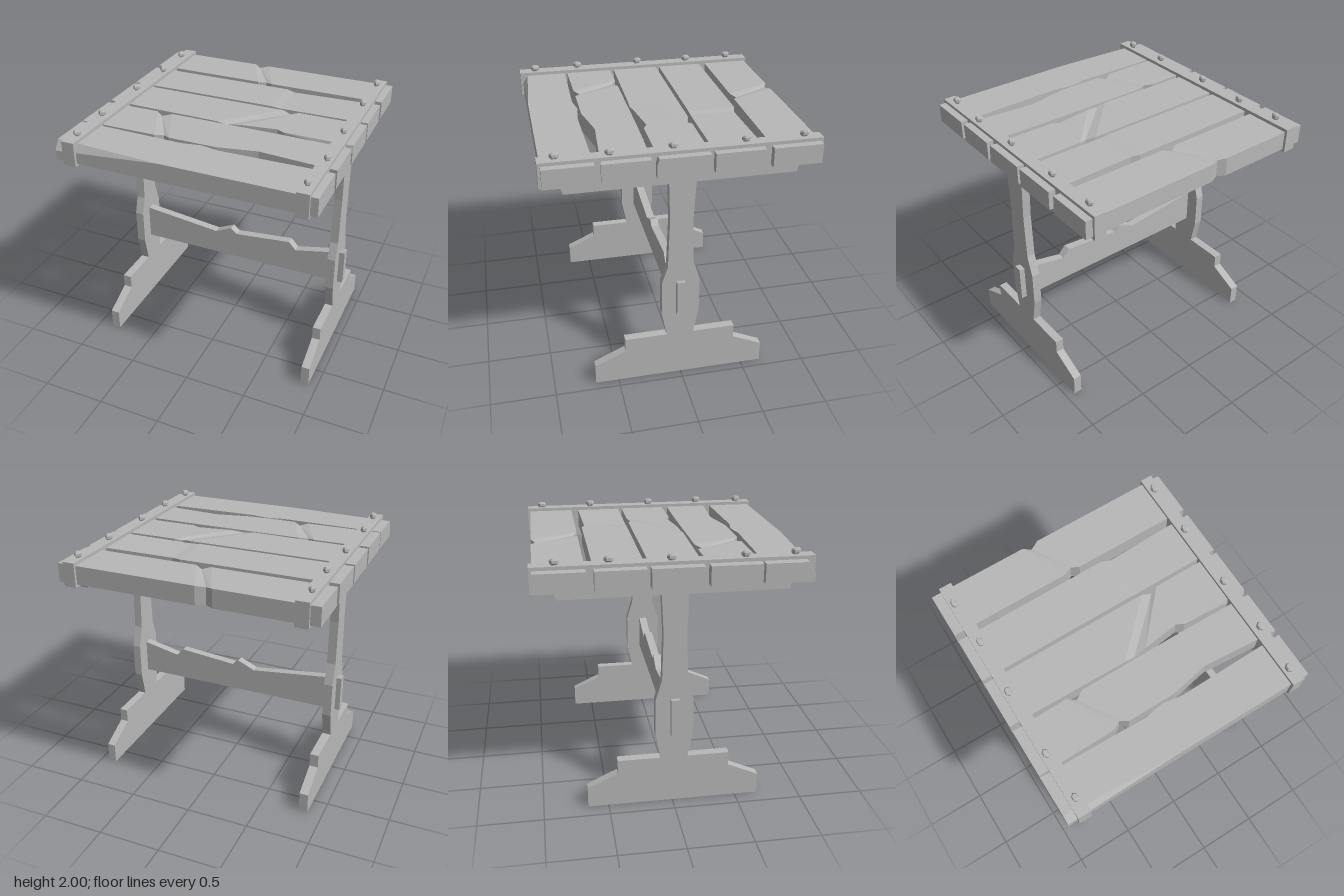
import * as THREE from 'three';

const wood = new THREE.MeshStandardMaterial({ color: 0xb8b8b8, flatShading: true });
wood.name = 'grey wood';

function part(parent, name, geometry) {
  const mesh = new THREE.Mesh(geometry, wood);
  mesh.name = name;
  parent.add(mesh);
  return mesh;
}

function box(parent, name, x0, x1, y0, y1, z0, z1) {
  const mesh = part(parent, name, new THREE.BoxGeometry(x1 - x0, y1 - y0, z1 - z0));
  mesh.position.set((x0 + x1) / 2, (y0 + y1) / 2, (z0 + z1) / 2);
}

function extrude(points, depth) {
  const shape = new THREE.Shape(points.map(([x, y]) => new THREE.Vector2(x, y)));
  return new THREE.ExtrudeGeometry(shape, { depth, bevelEnabled: false });
}

// Outline given as [z, y], extruded along x from x0 to x1
function sideProfile(points, x0, x1) {
  return extrude(points.map(([z, y]) => [-z, y]), x1 - x0).rotateY(Math.PI / 2).translate(x0, 0, 0);
}

// Worn plank lofted along x. Station: [back x, back z, front x, front z, top dent, chamfer z, chamfer y]
function plankGeometry(stations) {
  const bottom = 1.785, top = 1.93;
  const rings = stations.map(([xb, zb, xf, zf, dent = 0, cz = 0, cy = 0]) => [
    [xb, bottom, zb], [xb, top - dent, zb],
    [xf, top - dent, zf - cz], [xf, top - dent - cy, zf], [xf, bottom, zf],
  ]);
  const pos = [];
  const tri = (a, b, c) => pos.push(...a, ...b, ...c);
  for (let i = 0; i < rings.length - 1; i++) {
    const r = rings[i], s = rings[i + 1];
    for (let j = 0; j < 5; j++) {
      const k = (j + 1) % 5;
      tri(r[j], r[k], s[k]);
      tri(r[j], s[k], s[j]);
    }
  }
  const first = rings[0], last = rings[rings.length - 1];
  for (let j = 1; j < 4; j++) {
    tri(first[0], first[j + 1], first[j]);
    tri(last[0], last[j], last[j + 1]);
  }
  const g = new THREE.BufferGeometry();
  g.setAttribute('position', new THREE.Float32BufferAttribute(pos, 3));
  g.computeVertexNormals();
  return g;
}

const PLANKS = [
  [[-1, -0.98, -1, -0.62], [-0.23, -0.98, -0.06, -0.62], [-0.17, -0.945, 0, -0.655, 0.012],
    [-0.1, -0.98, 0.06, -0.62], [1, -0.98, 1, -0.62]],
  [[-1, -0.565, -1, -0.205], [0.22, -0.57, 0.22, -0.205], [0.29, -0.545, 0.29, -0.205, 0.006],
    [1, -0.565, 1, -0.205]],
  [[-1, -0.175, -1, 0.195], [0.33, -0.175, -0.06, 0.212], [0.4, -0.15, 0.02, 0.212, 0.012],
    [0.46, -0.175, 0.12, 0.2], [0.6, -0.175, 0.41, 0.16], [0.66, -0.175, 0.47, 0.19],
    [1, -0.175, 1, 0.205, 0, 0.015, 0.05]],
  [[-1, 0.235, -1, 0.605], [-0.56, 0.23, -0.39, 0.6], [-0.5, 0.272, -0.33, 0.56, 0.012],
    [-0.43, 0.23, -0.27, 0.6], [0.1, 0.23, 0.1, 0.6], [0.41, 0.23, 0.41, 0.54], [1, 0.24, 1, 0.585]],
  [[-1, 0.62, -1, 0.98, 0, 0.05, 0.075], [-0.15, 0.64, -0.15, 0.98], [0, 0.615, 0, 0.98],
    [0.14, 0.64, 0.14, 0.98], [1, 0.625, 1, 0.98]],
];

// Foot and shaped post in one board, as [z, y]
const TRESTLE = [
  [0.68, 0], [0.68, 0.165], [0.44, 0.275], [0.44, 0.385], [0.115, 0.385], [0.155, 0.59],
  [0.155, 0.87], [0.11, 1.01], [0.097, 1.4], [0.107, 1.71], [-0.09, 1.71], [-0.075, 1.4],
  [-0.085, 1.04], [-0.135, 0.87], [-0.135, 0.59], [-0.095, 0.385], [-0.425, 0.385],
  [-0.425, 0.275], [-0.66, 0.165], [-0.66, 0],
];
const RAIL = [[0.84, 1.7], [0.86, 1.77], [-0.845, 1.77], [-0.825, 1.7]];

const SIDES = [
  { name: 'right', leg: [-0.88, -0.81], strap: [-0.925, -0.825],
    pegs: [[-0.885, -0.825], [-0.87, -0.455], [-0.885, -0.02], [-0.885, 0.505], [-0.87, 0.87]] },
  { name: 'left', leg: [0.865, 0.93], strap: [0.85, 0.945],
    pegs: [[0.89, -0.875], [0.89, -0.45], [0.89, 0.07], [0.905, 0.51], [0.89, 0.88]] },
];

export function createModel() {
  const table = new THREE.Group();
  table.name = 'trestleTable';

  // Table top boards
  const top = new THREE.Group();
  top.name = 'tableTop';
  table.add(top);
  PLANKS.forEach((stations, i) => part(top, `plank${i + 1}`, plankGeometry(stations)));

  // Six-sided peg head with a rounded profile
  const pegGeometry = new THREE.LatheGeometry(
    [[0.024, 1.94], [0.024, 1.96], [0.034, 1.968], [0.034, 1.988], [0.024, 2], [0, 2]]
      .map(([r, y]) => new THREE.Vector2(r, y)), 6).scale(0.75, 1, 1);

  for (const { name, leg, strap, pegs } of SIDES) {
    const side = new THREE.Group();
    side.name = `${name}Side`;
    table.add(side);
    part(side, 'trestleLeg', sideProfile(TRESTLE, ...leg));
    part(side, 'supportRail', sideProfile(RAIL, ...leg));
    // End strap holding the boards
    box(side, 'endStrap', ...strap, 1.765, 1.955, -1, 1);
    for (const [x, z] of pegs) part(side, 'peg', pegGeometry).position.set(x, 0, z);
  }

  // Beam under the boards
  box(table, 'topBeam', -0.85, 0.9, 1.7, 1.785, -0.05, 0.06);

  // Stretcher with a worn top edge, passing through both legs
  part(table, 'stretcher', extrude([
    [-0.92, 0.59], [0.975, 0.59], [0.975, 0.885], [0.86, 0.865], [0.56, 0.8], [0.5, 0.865],
    [0.03, 0.82], [-0.02, 0.865], [-0.16, 0.8], [-0.8, 0.875], [-0.92, 0.885],
  ], 0.065).translate(0, 0, -0.02));

  return table;
}
